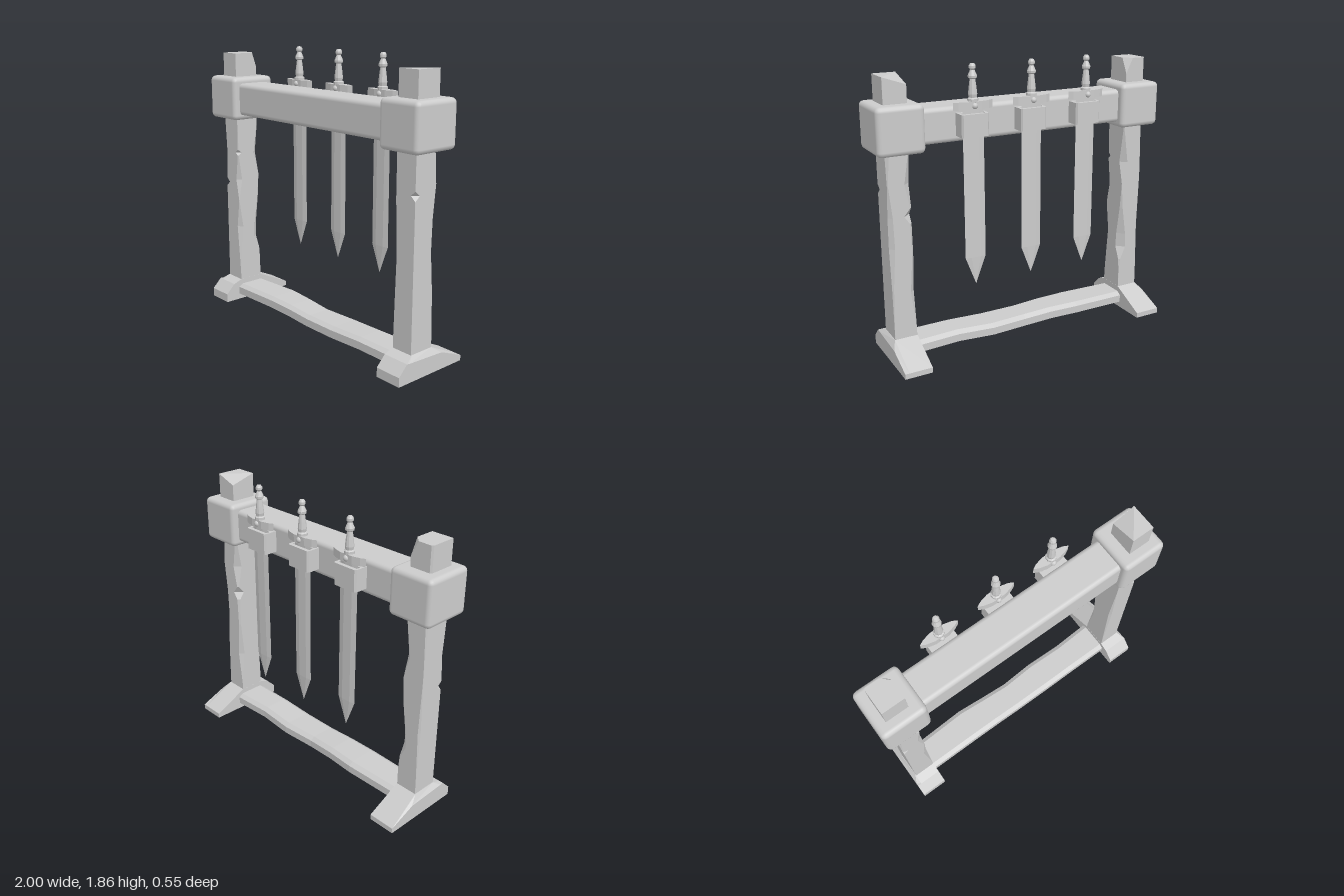
import * as THREE from 'three';
import { RoundedBoxGeometry } from 'three/addons/geometries/RoundedBoxGeometry.js';

const smooth = new THREE.MeshStandardMaterial({ color: 0xcccccc });
const flat = new THREE.MeshStandardMaterial({ color: 0xcccccc, flatShading: true });

function add(parent, name, geometry, material, x = 0, y = 0, z = 0) {
  const mesh = new THREE.Mesh(geometry, material);
  mesh.name = name;
  mesh.position.set(x, y, z);
  parent.add(mesh);
  return mesh;
}

// Skin over a row of equal-length rings, closed with a fan at both ends
function loft(rings) {
  const n = rings[0].length, index = [];
  for (let r = 0; r < rings.length - 1; r++) {
    for (let i = 0; i < n; i++) {
      const j = (i + 1) % n, a = r * n, b = a + n;
      index.push(a + i, a + j, b + j, a + i, b + j, b + i);
    }
  }
  const end = (rings.length - 1) * n;
  for (let i = 1; i < n - 1; i++) {
    index.push(0, i + 1, i, end, end + i, end + i + 1);
  }
  const g = new THREE.BufferGeometry();
  g.setAttribute('position', new THREE.Float32BufferAttribute(rings.flat(2), 3));
  g.setIndex(index);
  const out = g.toNonIndexed();
  out.computeVertexNormals();
  return out;
}

// Linear lookup in a list of [position, value] pairs
function sample(list, t) {
  if (t <= list[0][0]) return list[0][1];
  for (let i = 1; i < list.length; i++) {
    const [t0, v0] = list[i - 1], [t1, v1] = list[i];
    if (t <= t1) return v0 + (v1 - v0) * (t - t0) / (t1 - t0);
  }
  return list[list.length - 1][1];
}

// Square post whose four corners are worn away by a depth that varies with height.
// Corner order: (+x,-z), (-x,-z), (-x,+z), (+x,+z)
function postGeometry(wear, drop) {
  const hx = 0.074, hz = 0.0875, bottom = 0.1, top = 1.8;
  const levels = [...new Set([bottom, top, ...wear.flat().map(p => p[0])])].sort((a, b) => a - b);
  return loft(levels.map(y => {
    const c = wear.map(list => Math.max(0.001, sample(list, y)));
    const low = y === top ? y - drop : y;
    return [
      [hx, y, -hz + c[0]], [hx - c[0], y, -hz],
      [-hx + c[1], low, -hz], [-hx, low, -hz + c[1]],
      [-hx, y, hz - c[2]], [-hx + c[2], y, hz],
      [hx - c[3], y, hz], [hx, y, hz - c[3]],
    ];
  }));
}

// Foot: sloped profile, with its outer upper edge chamfered
function footGeometry(side) {
  const full = [[0.275, 0], [-0.27, 0], [-0.27, 0.035], [-0.03, 0.15], [0.14, 0.15], [0.21, 0.125], [0.275, 0.06]];
  const outer = full.map(p => p.slice());
  outer[3] = [-0.09, 0.108];
  outer[4] = [0.19, 0.122];
  const sections = [[0.78, full], [0.932, full], [0.96, outer]];
  if (side < 0) sections.reverse();
  return loft(sections.map(([x, ring]) => ring.map(([z, y]) => [side * x, y, z])));
}

// Uneven rail joining the feet
function railGeometry() {
  const top = [[-0.8, 0.112], [-0.4, 0.121], [-0.2, 0.118], [0, 0.106], [0.25, 0.106], [0.5, 0.117], [0.8, 0.116]];
  const back = [-0.06, -0.075, -0.06, -0.05, -0.065, -0.055, -0.07];
  return loft(top.map(([x, t], i) => {
    const b = t - 0.072, zb = back[i], zf = 0.165;
    return [[x, b, zf], [x, b, zb], [x, t - 0.022, zb], [x, t, zb + 0.03], [x, t, zf - 0.03], [x, t - 0.02, zf]];
  }));
}

// Flat outline in x and z, raised by a height
function slab(points, height, hole) {
  const vec = list => list.map(([x, z]) => new THREE.Vector2(x, z));
  const shape = new THREE.Shape(vec(points));
  if (hole) shape.holes.push(new THREE.Path(vec(hole)));
  return new THREE.ExtrudeGeometry(shape, { depth: height, bevelEnabled: false }).rotateX(-Math.PI / 2);
}

function createSword() {
  const sword = new THREE.Group();
  sword.name = 'sword';

  // Six-sided blade with a pointed end
  const bladeRing = (y, s) => [[0.07, 0], [0.032, -0.008], [-0.032, -0.008], [-0.07, 0], [-0.032, 0.008], [0.032, 0.008]]
    .map(([x, z]) => [x * s, y, z * s]);
  add(sword, 'blade', loft([bladeRing(0.46, 0.01), bladeRing(0.64, 1), bladeRing(1.6, 1)]), flat);

  // Guard tapering to both tips, with a stud through it
  const guard = [[0.13, 0], [0.1, 0.016], [0.045, 0.03], [-0.045, 0.03], [-0.1, 0.016],
    [-0.13, 0], [-0.1, -0.016], [-0.045, -0.03], [0.045, -0.03], [0.1, -0.016]];
  add(sword, 'guard', slab(guard, 0.05), flat, 0, 1.583, 0);
  for (const s of [-1, 1]) {
    add(sword, 'guardStud', new THREE.SphereGeometry(0.02, 10, 8), smooth, 0, 1.607, s * 0.025);
  }

  // Turned grip and pommel
  const grip = [[0, 1.62], [0.033, 1.63], [0.033, 1.648], [0.024, 1.655], [0.028, 1.675], [0.023, 1.72],
    [0.017, 1.765], [0.027, 1.772], [0.028, 1.785], [0.019, 1.805], [0.013, 1.818], [0.021, 1.828],
    [0.021, 1.842], [0.013, 1.855], [0, 1.857]];
  add(sword, 'grip', new THREE.LatheGeometry(grip.map(p => new THREE.Vector2(...p)), 10), flat);
  return sword;
}

export function createModel() {
  const model = new THREE.Group();
  model.name = 'swordRack';

  // Corner wear of the two posts, as [height, depth]
  const rightWear = [
    [[0.28, 0], [0.36, 0.01], [0.45, 0.05], [0.55, 0.045], [0.75, 0.015], [0.93, 0], [1.08, 0.04], [1.3, 0.008], [1.7, 0], [1.8, 0.05]],
    [[0.2, 0], [0.6, 0.012], [1, 0], [1.3, 0.01]],
    [[0.84, 0], [0.87, 0.035], [0.9, 0], [1.08, 0.015], [1.3, 0]],
    [[0.2, 0], [0.55, 0.03], [0.75, 0], [0.9, 0.03], [1.08, 0.005], [1.1, 0.03], [1.12, 0.005], [1.3, 0]],
  ];
  const leftWear = [
    [[0.2, 0], [0.5, 0.01], [0.75, 0.03], [0.95, 0.025], [1.15, 0.005], [1.35, 0.02], [1.5, 0]],
    [[0.2, 0], [0.45, 0.03], [0.7, 0.01], [0.9, 0.015], [0.95, 0.05], [1, 0.01], [1.15, 0.04], [1.4, 0]],
    [[0.2, 0], [0.7, 0.015], [1.1, 0]],
    [[1.07, 0], [1.1, 0.035], [1.13, 0]],
  ];

  for (const side of [-1, 1]) {
    const label = side > 0 ? 'left' : 'right';
    const wear = side > 0 ? leftWear : rightWear;
    add(model, label + 'Post', postGeometry(wear, side > 0 ? 0.05 : 0), flat, side * 0.855, 0, 0.0575);
    add(model, label + 'Foot', footGeometry(side), flat);
    add(model, label + 'JointBlock', new RoundedBoxGeometry(0.3, 0.295, 0.33, 2, 0.032), smooth, side * 0.85, 1.4925, 0.055);
  }

  // Beam and bottom rail
  add(model, 'beam', new RoundedBoxGeometry(1.5, 0.22, 0.235, 2, 0.03), smooth, 0, 1.49, 0.0575);
  add(model, 'bottomRail', railGeometry(), flat);

  // Swords hanging through slotted holders behind the beam
  const holder = [[0.09, -0.055], [0.09, 0.028], [0.08, 0.04], [-0.08, 0.04], [-0.09, 0.028], [-0.09, -0.055]];
  const slot = [[0.075, -0.015], [0.075, 0.015], [-0.075, 0.015], [-0.075, -0.015]];
  for (const x of [-0.4, 0, 0.4]) {
    const sword = createSword();
    sword.position.set(x, 0, -0.115);
    model.add(sword);
    add(model, 'swordHolder', slab(holder, 0.14, slot), flat, x, 1.42, -0.115);
  }
  return model;
}
